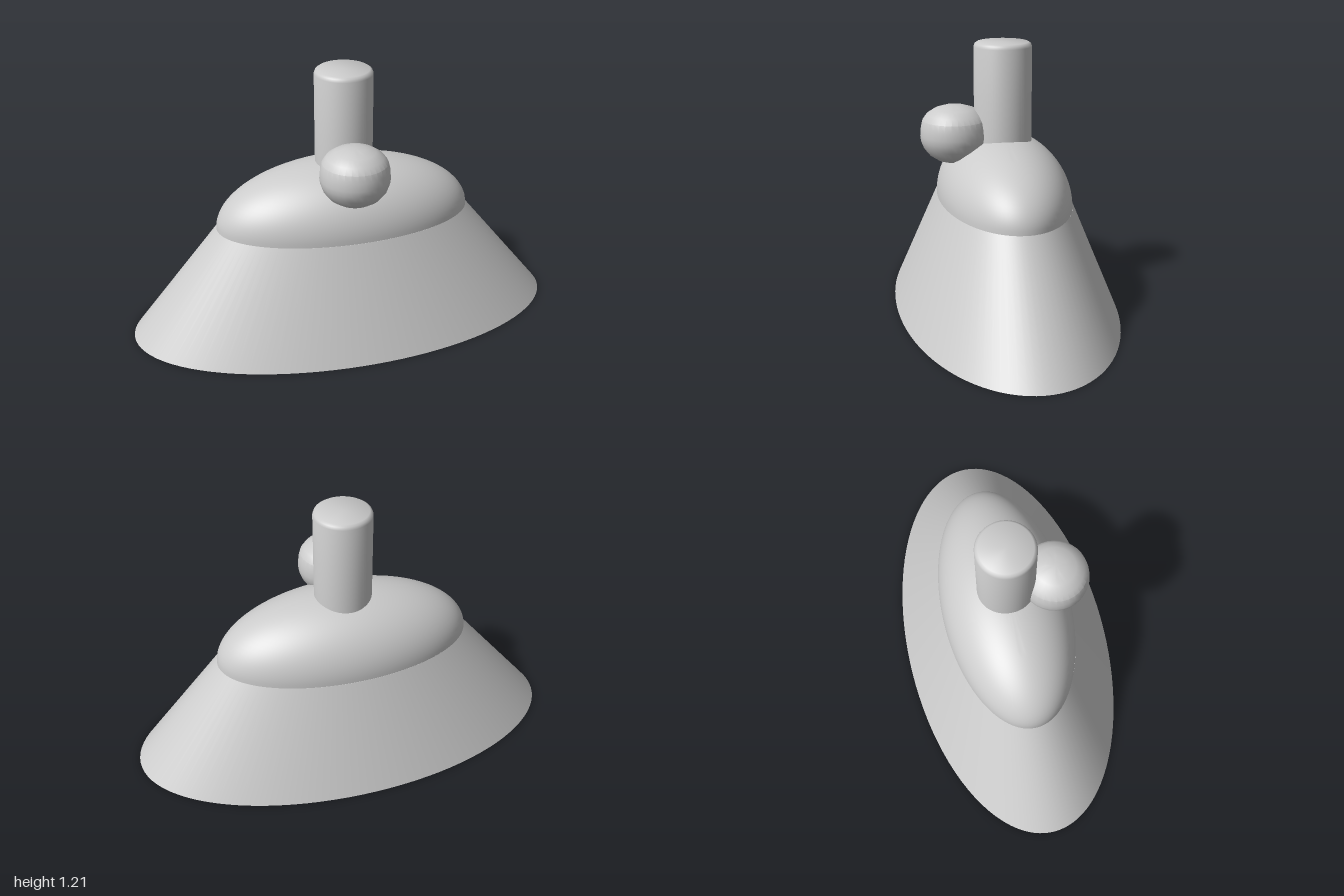
import * as THREE from 'three';
import { toCreasedNormals } from 'three/addons/utils/BufferGeometryUtils.js';

const material = new THREE.MeshStandardMaterial({ color: 0xcccccc });

// Lathe from [radius, y] pairs listed bottom to top
function lathe(name, profile, segments, scaleZ = 1, crease = 0.5) {
  const points = profile.map(([r, y]) => new THREE.Vector2(r, y));
  const geometry = new THREE.LatheGeometry(points, segments);
  geometry.scale(1, 1, scaleZ);
  const mesh = new THREE.Mesh(toCreasedNormals(geometry, crease), material);
  mesh.name = name;
  return mesh;
}

export function createModel() {
  const model = new THREE.Group();
  model.name = 'bellBody';

  // Flared elliptical skirt with a flat, closed underside
  const skirt = lathe('skirt', [[0, 0], [1, 0], [0.59, 0.5], [0, 0.5]], 96);
  // The ellipse is a little rounder at the bottom than at the shoulder
  const pos = skirt.geometry.attributes.position;
  for (let i = 0; i < pos.count; i++) {
    const depth = pos.getY(i) < 0.25 ? 0.505 : 0.3 / 0.59;
    pos.setZ(i, pos.getZ(i) * depth);
  }
  skirt.geometry = toCreasedNormals(skirt.geometry, 0.5);
  model.add(skirt);

  // Half-ellipsoid dome on the shoulder
  const domeProfile = [];
  for (let i = 0; i <= 24; i++) {
    const a = (i / 24) * Math.PI / 2;
    domeProfile.push([0.592 * Math.cos(a), 0.5 + 0.284 * Math.sin(a)]);
  }
  model.add(lathe('dome', domeProfile, 96, 0.505));

  // Upright post with a small bevel at the top
  model.add(lathe('post', [
    [0, 0.55], [0.13, 0.55], [0.13, 1.185], [0.125, 1.198], [0.115, 1.205], [0, 1.205],
  ], 64, 1, 0.7));

  // Squashed knob in front of the post, with a shallow cap
  const knob = lathe('knob', [
    [0, 0.66], [0.04, 0.664], [0.08, 0.677], [0.115, 0.7], [0.14, 0.732], [0.152, 0.765],
    [0.155, 0.79], [0.152, 0.825], [0.144, 0.858], [0.125, 0.885], [0.09, 0.908],
    [0.045, 0.922], [0, 0.925],
  ], 32, 1, 0.4);
  knob.position.set(-0.012, 0, 0.218);
  model.add(knob);

  return model;
}
